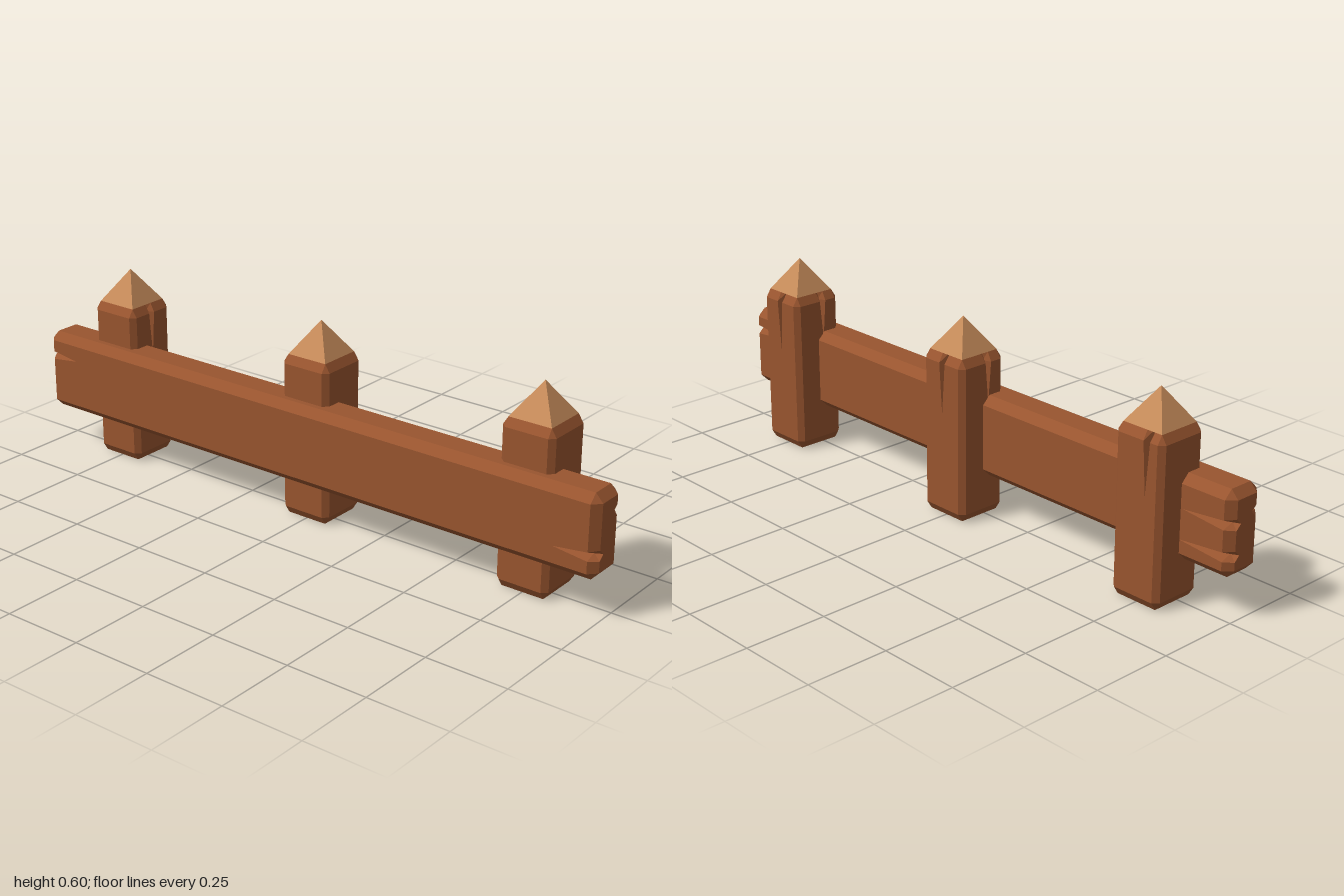
import * as THREE from 'three';

const wood = new THREE.MeshStandardMaterial({ color: 0x99552f });
wood.name = 'brown wood';
const cut = new THREE.MeshStandardMaterial({ color: 0xc68b5a });
cut.name = 'pale cut wood';

// Bevelled timber swept along an axis, with wedge cracks running in from its ends.
// Section half sizes are hp, hq; the axis runs from t0 to t1.
// A crack: face (0 +p, 1 +q, 2 -p, 3 -q), s along the face, end (-1 or 1), len, half width, depth.
function timber(hp, hq, t0, t1, chamfer, bevel, cracks, place) {
  const openness = (c, t) => Math.max(0, 1 - (c.end > 0 ? t1 - t : t - t0) / c.len);

  const section = (t, inset) => {
    const ring = [];
    for (let face = 0; face < 4; face++) {
      const a = (face * Math.PI) / 2;
      const nx = Math.round(Math.cos(a)), ny = Math.round(Math.sin(a));
      const h = face % 2 ? hq : hp;
      const g = (face % 2 ? hp : hq) - chamfer;
      const add = (out, s) => ring.push(new THREE.Vector2(nx * out - ny * s, ny * out + nx * s));
      add(h - inset, -g);
      cracks.filter(c => c.face === face).sort((c, d) => c.s - d.s).forEach(c => {
        const k = openness(c, t);
        add(h - inset, c.s - c.half * k);
        add(k > 0 ? Math.min(h - inset, h - c.depth * k) : h - inset, c.s);
        add(h - inset, c.s + c.half * k);
      });
      add(h - inset, g);
    }
    return ring;
  };

  // Rings at the ends, the bevels and the inner tip of every crack
  const levels = [t0, t0 + bevel, t1 - bevel, t1,
    ...cracks.map(c => (c.end > 0 ? t1 - c.len : t0 + c.len))];
  const ts = [...new Set(levels)].sort((a, b) => a - b);
  const rings = ts.map(t => section(t, t === t0 || t === t1 ? chamfer : 0));

  const pos = [];
  const put = (i, j) => pos.push(...place(rings[i][j].x, rings[i][j].y, ts[i]));
  const n = rings[0].length;
  for (let i = 0; i < ts.length - 1; i++) {
    for (let j = 0; j < n; j++) {
      const k = (j + 1) % n;
      put(i, j); put(i, k); put(i + 1, k);
      put(i, j); put(i + 1, k); put(i + 1, j);
    }
  }
  const sideCount = pos.length / 3;
  for (const i of [0, ts.length - 1]) {
    for (const [a, b, c] of THREE.ShapeUtils.triangulateShape(rings[i].slice(), [])) {
      for (const j of i ? [a, b, c] : [a, c, b]) put(i, j);
    }
  }
  const geo = new THREE.BufferGeometry();
  geo.setAttribute('position', new THREE.Float32BufferAttribute(pos, 3));
  geo.addGroup(0, sideCount, 0);
  geo.addGroup(sideCount, pos.length / 3 - sideCount, 1);
  geo.computeVertexNormals();
  return geo;
}

function createPost(x, cracks) {
  const post = new THREE.Group();
  post.name = 'post';
  post.position.set(x, 0, -0.02);

  const shaft = new THREE.Mesh(
    timber(0.083, 0.083, 0, 0.5, 0.016, 0.025, cracks, (p, q, t) => [q, t, p]), [wood, cut]);
  shaft.name = 'postShaft';

  const tipGeo = new THREE.ConeGeometry(0.067 * Math.SQRT2, 0.1, 4).rotateY(Math.PI / 4).toNonIndexed();
  tipGeo.computeVertexNormals();
  const tip = new THREE.Mesh(tipGeo, cut);
  tip.name = 'pointedTip';
  tip.position.y = 0.55;

  post.add(shaft, tip);
  return post;
}

export function createModel() {
  const fence = new THREE.Group();
  fence.name = 'fence';

  // Three posts, split at the top on the back and on one side
  const split = (face, s, len) => ({ face, s, end: 1, len, half: 0.013, depth: 0.03 });
  fence.add(
    createPost(-0.75, [split(2, 0.03, 0.18), split(1, 0, 0.16)]),
    createPost(0, [split(2, 0, 0.18), split(3, 0.02, 0.15)]),
    createPost(0.75, [split(2, 0, 0.18), split(3, 0.02, 0.15)]));

  // Rail across the front, cracked at both ends
  const crack = (face, s, end, len) => ({ face, s, end, len, half: 0.016, depth: 0.042 });
  const railCracks = [
    crack(1, 0.05, 1, 0.13), crack(1, -0.05, -1, 0.12),
    crack(3, 0.057, 1, 0.18),
    crack(3, 0.03, -1, 0.16), crack(3, -0.06, -1, 0.17),
  ];
  const rail = new THREE.Mesh(
    timber(0.125, 0.0625, -1, 1, 0.025, 0.023, railCracks, (p, q, t) => [t, p, q]), [wood, wood]);
  rail.name = 'rail';
  rail.position.set(0, 0.25, 0.0425);
  fence.add(rail);

  return fence;
}
